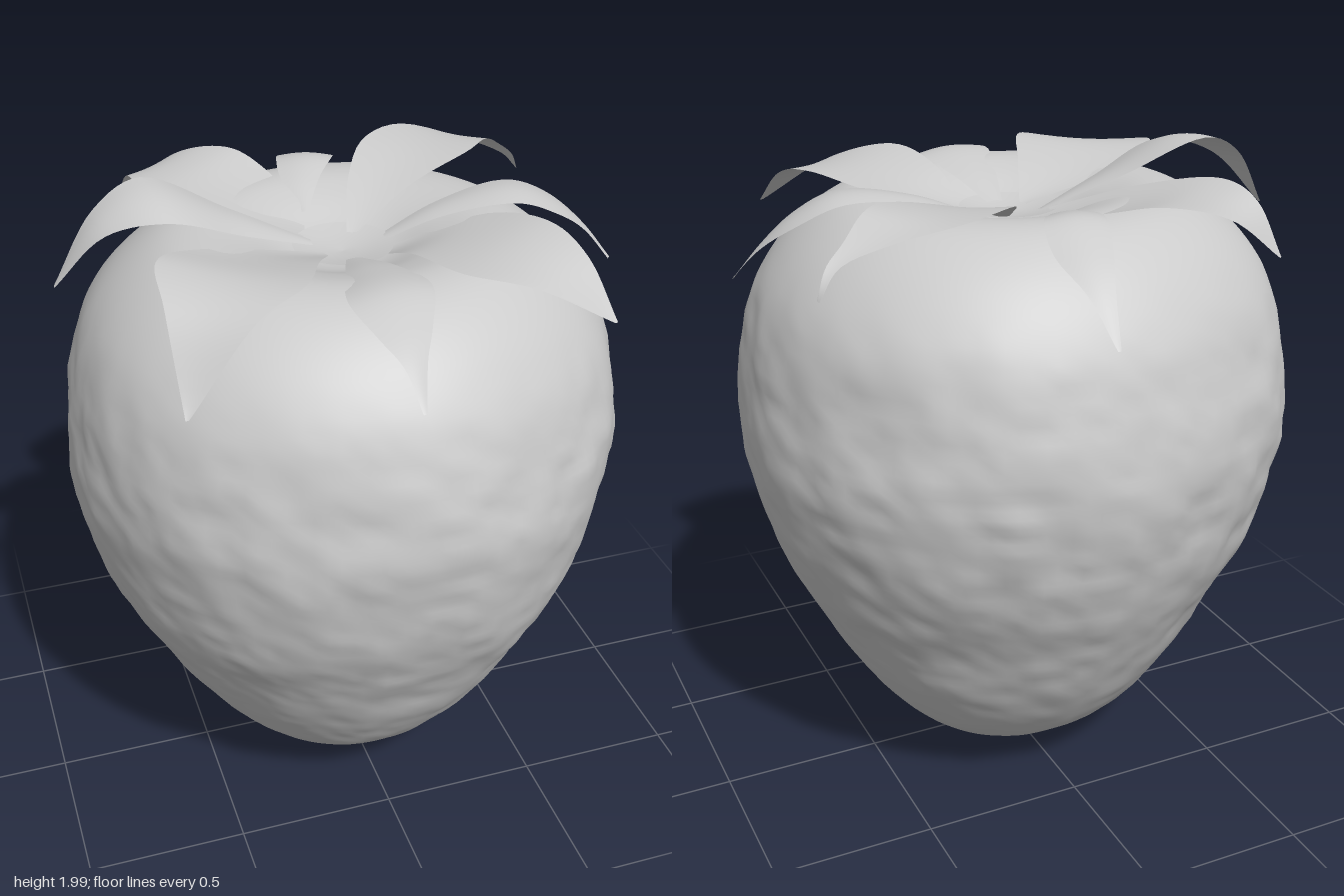
import * as THREE from 'three';
import { mergeVertices } from 'three/addons/utils/BufferGeometryUtils.js';

const material = new THREE.MeshStandardMaterial({ color: 0xcccccc, side: THREE.DoubleSide });

// Smooth 3D value noise in -1..1
function hash(x, y, z) {
  const s = Math.sin(x * 127.1 + y * 311.7 + z * 74.7) * 43758.5453;
  return (s - Math.floor(s)) * 2 - 1;
}
function noise(x, y, z) {
  const ix = Math.floor(x), iy = Math.floor(y), iz = Math.floor(z);
  const ease = (t) => t * t * (3 - 2 * t);
  const u = ease(x - ix), v = ease(y - iy), w = ease(z - iz);
  let sum = 0;
  for (let i = 0; i < 2; i++)
    for (let j = 0; j < 2; j++)
      for (let k = 0; k < 2; k++)
        sum += hash(ix + i, iy + j, iz + k) * (i ? u : 1 - u) * (j ? v : 1 - v) * (k ? w : 1 - w);
  return sum;
}

// Heart-shaped fruit body with a dimpled top and a lumpy skin
function makeFruit() {
  const profile = [
    [0, 0], [0.14, 0.02], [0.29, 0.09], [0.42, 0.2], [0.56, 0.4], [0.665, 0.6], [0.76, 0.8],
    [0.815, 1], [0.84, 1.2], [0.82, 1.4], [0.76, 1.6], [0.65, 1.75], [0.52, 1.84],
    [0.4, 1.86], [0.28, 1.835], [0.14, 1.78], [0, 1.76],
  ].map(([r, y]) => new THREE.Vector3(r, y, 0));
  const points = new THREE.CatmullRomCurve3(profile).getSpacedPoints(110)
    .map((p) => new THREE.Vector2(Math.max(p.x, 0), p.y));
  points[0].x = points[points.length - 1].x = 0;
  let geometry = new THREE.LatheGeometry(points, 140);
  geometry.deleteAttribute('uv');
  geometry.deleteAttribute('normal');
  geometry = mergeVertices(geometry, 1e-4);
  const pos = geometry.attributes.position;
  for (let i = 0; i < pos.count; i++) {
    const x = pos.getX(i), y = pos.getY(i), z = pos.getZ(i);
    const r = Math.max(Math.hypot(x, z), 1e-6);
    // Fuller flanks on one diagonal and a swelling at the back right
    const flank = 0.025 * ((0.82 * x - 0.57 * z) / r) ** 4;
    const swelling = 0.025 * Math.max(0, (-0.88 * x - 0.48 * z) / r) ** 8;
    const skin = THREE.MathUtils.smoothstep(1.8 - y, 0, 0.5);
    const bump = 0.015 * noise(x * 3, y * 3, z * 3)
      + skin * (0.01 * noise(x * 9, y * 9, z * 9) + 0.006 * noise(x * 20, y * 20, z * 20));
    const scale = 1 + flank + swelling + bump;
    pos.setX(i, x * scale);
    pos.setZ(i, z * scale);
  }
  geometry.computeVertexNormals();
  return new THREE.Mesh(geometry, material);
}

// Leaf lofted between two plan edges [x, z]; heights run from base to tip,
// arch lifts (or cups) the middle, tilt raises edge A above edge B
function makeLeaf({ edgeA, edgeB, heights, arch, tilt = 0 }) {
  const along = 28, across = 8, vertices = [], indices = [];
  const edge = (points) => new THREE.CatmullRomCurve3(
    points.map(([x, z], i) => new THREE.Vector3(x, heights[i], z)));
  const a = edge(edgeA), b = edge(edgeB), p = new THREE.Vector3();
  for (let i = 0; i <= along; i++) {
    const t = i / along, start = a.getPoint(t), end = b.getPoint(t);
    const width = start.distanceTo(end);
    for (let j = 0; j <= across; j++) {
      const s = j / across;
      p.lerpVectors(start, end, s);
      p.y += width * (arch * (Math.sin(Math.PI * s) - 0.5) + tilt * (0.5 - s));
      vertices.push(p.x, p.y, p.z);
      if (i < along && j < across) {
        const k = i * (across + 1) + j, n = k + across + 1;
        indices.push(k, k + 1, n, k + 1, n + 1, n);
      }
    }
  }
  const geometry = new THREE.BufferGeometry();
  geometry.setAttribute('position', new THREE.Float32BufferAttribute(vertices, 3));
  geometry.setIndex(indices);
  geometry.computeVertexNormals();
  return new THREE.Mesh(geometry, material);
}

// Eight leaves: slim ones on the axes, broad ones on the diagonals
const leaves = {
  leafFront: {
    edgeA: [[0.03, 0.09], [0.07, 0.27], [0.105, 0.46], [0.05, 0.61], [0, 0.71], [-0.04, 0.82]],
    edgeB: [[-0.02, 0.09], [-0.09, 0.3], [-0.145, 0.5], [-0.11, 0.64], [-0.07, 0.73], [-0.05, 0.82]],
    heights: [1.79, 1.845, 1.87, 1.83, 1.78, 1.69],
    arch: 0.06,
  },
  leafFrontLeft: {
    edgeA: [[0.13, 0.04], [0.42, 0.08], [0.54, 0.25], [0.58, 0.43], [0.6, 0.6]],
    edgeB: [[0.11, 0.09], [0.12, 0.28], [0.18, 0.5], [0.36, 0.57], [0.59, 0.6]],
    heights: [1.79, 1.865, 1.895, 1.86, 1.74],
    arch: -0.03,
  },
  leafLeft: {
    edgeA: [[0.12, -0.04], [0.32, -0.08], [0.56, -0.11], [0.69, -0.09], [0.78, -0.01], [0.85, 0.06]],
    edgeB: [[0.12, 0], [0.3, 0.03], [0.52, 0.07], [0.65, 0.07], [0.76, 0.05], [0.84, 0.07]],
    heights: [1.79, 1.86, 1.89, 1.84, 1.76, 1.66],
    arch: 0.06,
  },
  leafBackLeft: {
    edgeA: [[0.04, -0.09], [0.11, -0.29], [0.22, -0.47], [0.38, -0.56], [0.58, -0.5], [0.7, -0.47], [0.77, -0.51]],
    edgeB: [[0.07, -0.08], [0.28, -0.19], [0.5, -0.27], [0.59, -0.35], [0.67, -0.42], [0.73, -0.45], [0.77, -0.49]],
    heights: [1.79, 1.87, 1.92, 1.92, 1.87, 1.82, 1.75],
    arch: -0.03,
  },
  leafBack: {
    edgeA: [[-0.06, -0.22], [-0.08, -0.38], [-0.055, -0.52], [0, -0.66], [0.04, -0.75], [0.07, -0.84]],
    edgeB: [[-0.04, -0.22], [0.04, -0.36], [0.12, -0.48], [0.145, -0.6], [0.11, -0.73], [0.08, -0.84]],
    heights: [1.815, 1.865, 1.88, 1.82, 1.74, 1.62],
    arch: 0.06,
  },
  leafBackRight: {
    edgeA: [[-0.1, -0.07], [-0.35, -0.2], [-0.52, -0.36], [-0.54, -0.52], [-0.55, -0.64]],
    edgeB: [[-0.05, -0.22], [-0.11, -0.45], [-0.2, -0.58], [-0.36, -0.655], [-0.54, -0.65]],
    heights: [1.795, 1.865, 1.9, 1.87, 1.74],
    arch: -0.03,
  },
  leafRight: {
    edgeA: [[-0.08, -0.07], [-0.31, -0.15], [-0.55, -0.21], [-0.7, -0.165], [-0.84, -0.1]],
    edgeB: [[-0.08, -0.04], [-0.29, 0], [-0.52, 0.03], [-0.69, -0.03], [-0.84, -0.09]],
    heights: [1.79, 1.88, 1.975, 1.92, 1.74],
    arch: 0.06,
    tilt: 0.2,
  },
  leafFrontRight: {
    edgeA: [[-0.07, 0.02], [-0.46, 0.06], [-0.59, 0.18], [-0.61, 0.36], [-0.61, 0.55]],
    edgeB: [[-0.06, 0.05], [-0.15, 0.25], [-0.25, 0.45], [-0.39, 0.5], [-0.6, 0.55]],
    heights: [1.79, 1.865, 1.9, 1.85, 1.62],
    arch: -0.03,
  },
};

export function createModel() {
  const model = new THREE.Group();
  model.name = 'strawberry';

  const fruit = makeFruit();
  fruit.name = 'fruit';
  model.add(fruit);

  // Shallow hub joining the leaf bases
  const hub = new THREE.Mesh(new THREE.LatheGeometry(
    [[0.15, 1.8], [0.1, 1.788], [0.05, 1.779], [0, 1.775]].map(([r, y]) => new THREE.Vector2(r, y)), 32), material);
  hub.name = 'leafHub';
  model.add(hub);

  const crown = new THREE.Group();
  crown.name = 'leafCrown';
  for (const [name, spec] of Object.entries(leaves)) {
    const leaf = makeLeaf(spec);
    leaf.name = name;
    crown.add(leaf);
  }
  model.add(crown);
  return model;
}
